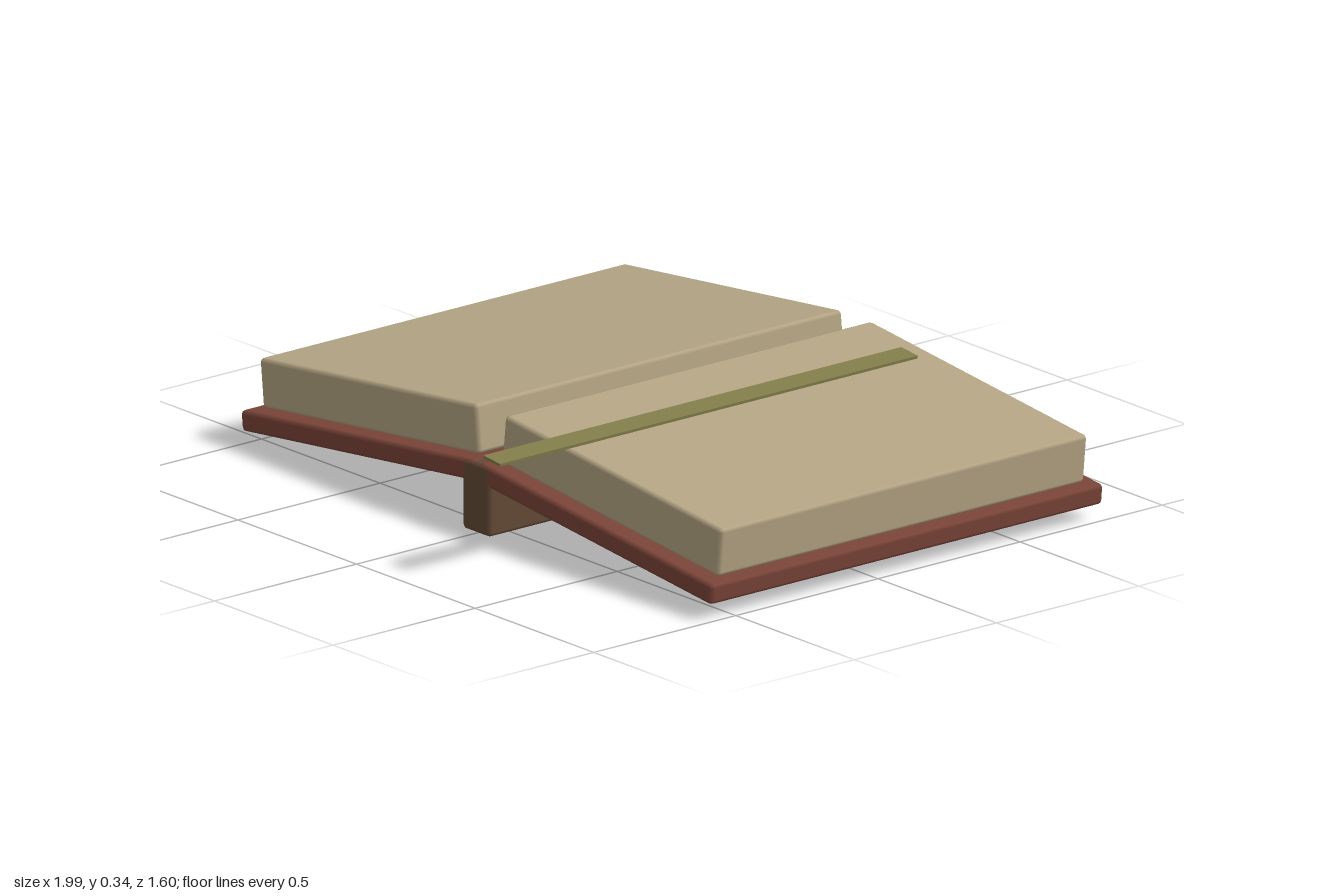
import * as THREE from 'three';
import { RoundedBoxGeometry } from 'three/addons/geometries/RoundedBoxGeometry.js';

const TILT = 0.105;

export function createModel() {
  const book = new THREE.Group();
  book.name = 'openBook';

  const material = (name, color) => {
    const m = new THREE.MeshStandardMaterial({ color });
    m.name = name;
    return m;
  };
  const coverRed = material('coverRed', 0x7a4438);
  const paper = material('paper', 0xb5a584);
  const spineBrown = material('spineBrown', 0x634a36);
  const ribbonOlive = material('ribbonOlive', 0x827d4a);

  // A bevelled slab, optionally tilted about z
  const slab = (name, mat, size, pos, tilt = 0, bevel = 0.012) => {
    const geo = bevel
      ? new RoundedBoxGeometry(...size, 1, bevel)
      : new THREE.BoxGeometry(...size);
    const mesh = new THREE.Mesh(geo, mat);
    mesh.name = name;
    mesh.position.set(...pos);
    mesh.rotation.z = tilt;
    book.add(mesh);
  };

  // Covers and page blocks slope down away from the spine
  for (const [side, s] of [['left', 1], ['right', -1]]) {
    slab(side + 'Cover', coverRed, [0.99, 0.06, 1.38], [s * 0.5, 0.1225, -0.11], -s * TILT);
    slab(side + 'Pages', paper, [0.92, 0.14, 1.29], [s * 0.5105, 0.222, -0.115], -s * TILT);
  }

  // Spine block under the fold
  slab('spine', spineBrown, [0.116, 0.2, 1.382], [0, 0.1, -0.11]);

  // Bookmark ribbon hovering over the left page
  slab('bookmarkRibbon', ribbonOlive, [0.07, 0.008, 1.47], [0.33, 0.334, 0.065], -TILT, 0);

  return book;
}
